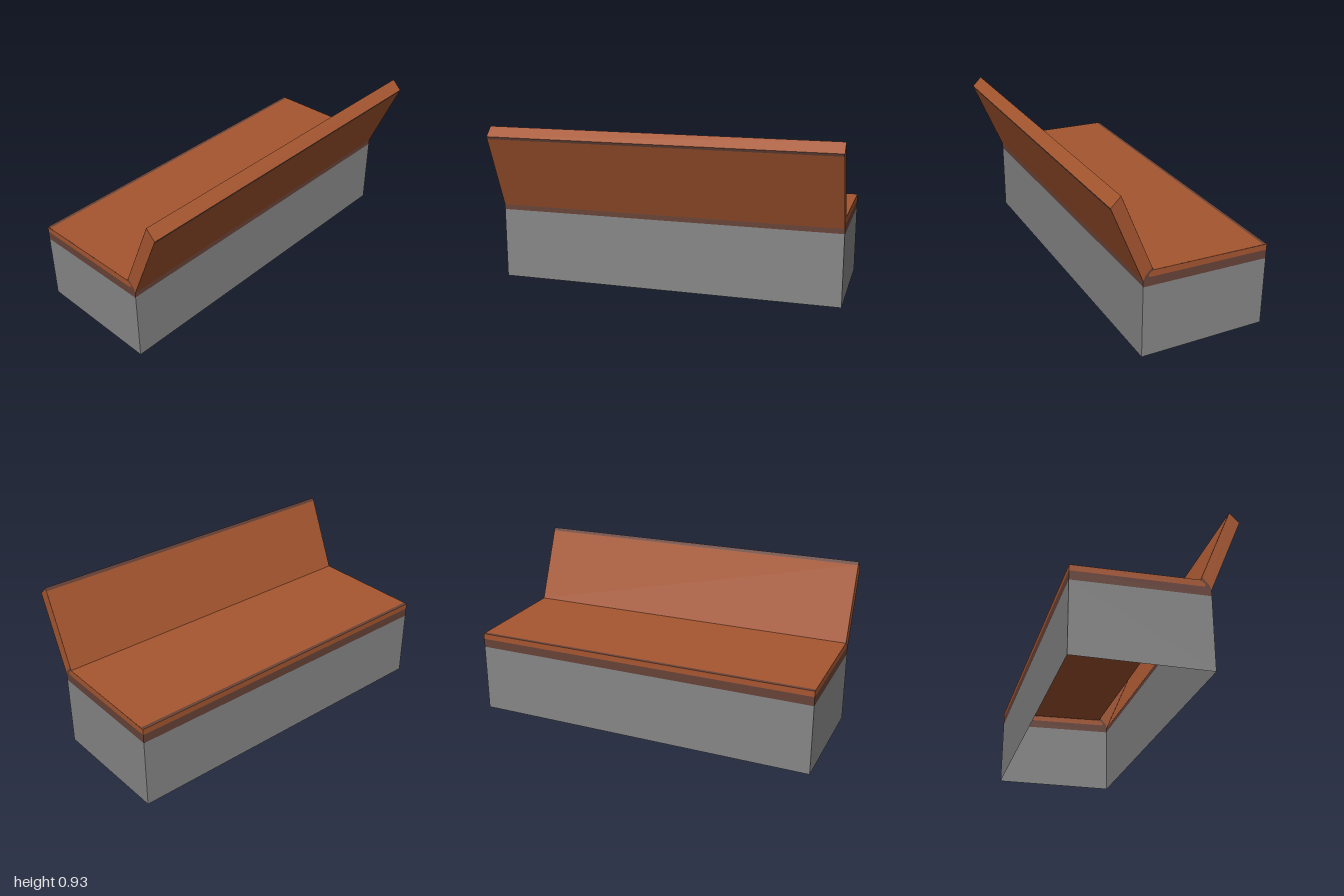
import * as THREE from 'three';

export function createModel() {
  const group = new THREE.Group();
  group.name = 'bench';
  const mat = (name, color) =>
    new THREE.MeshStandardMaterial({ name, color, side: THREE.DoubleSide });
  const grey = mat('concreteGrey', 0x878787);
  const brown = mat('woodBrown', 0xa65630);
  const dark = mat('trimDarkBrown', 0x684338);

  const add = (name, geometry, material) => {
    const mesh = new THREE.Mesh(geometry, material);
    mesh.name = name;
    group.add(mesh);
    return mesh;
  };

  // Full-length panel between two profile points [z, y]
  const panel = (name, [az, ay], [bz, by], material) => {
    const g = new THREE.BufferGeometry();
    g.setAttribute('position', new THREE.Float32BufferAttribute(
      [1, ay, az, -1, ay, az, -1, by, bz, 1, by, bz], 3));
    g.setIndex([0, 1, 2, 0, 2, 3]);
    g.computeVertexNormals();
    add(name, g, material);
  };

  // Matching flat end panels at both ends, outlined by [z, y] points
  const ends = (name, points, material) => {
    const shape = new THREE.Shape(points.map(([z, y]) => new THREE.Vector2(-z, y)));
    for (const side of [1, -1]) {
      const g = new THREE.ShapeGeometry(shape);
      if (side < 0) { // turn the far end outward
        const index = g.index.array;
        for (let i = 0; i < index.length; i += 3) {
          [index[i], index[i + 1]] = [index[i + 1], index[i]];
        }
        g.computeVertexNormals();
      }
      g.rotateY(Math.PI / 2);
      add(name + (side > 0 ? 'Left' : 'Right'), g, material).position.x = side;
    }
  };

  // Profile around the hollow shell, open underneath
  const profile = [
    ['baseSeatSide', [-0.45, 0], grey],
    ['seatLowerTrim', [-0.45, 0.395], dark],
    ['seatEdge', [-0.45, 0.445], brown],
    ['seatTopTrim', [-0.45, 0.478], dark],
    ['seat', [-0.43, 0.479], brown],
    ['backrestFace', [0.22, 0.495], brown],
    ['backrestFaceTrim', [0.392, 0.91], dark],
    ['backrestTop', [0.4, 0.928], brown],
    ['backrestRearTrim', [0.454, 0.875], dark],
    ['backrestRear', [0.448, 0.86], brown],
    ['baseRearTrim', [0.275, 0.443], dark],
    ['baseRear', [0.275, 0.414], grey],
    [null, [0.275, 0]],
  ];
  for (let i = 0; i < profile.length - 1; i++) {
    const [name, from, material] = profile[i];
    panel(name, from, profile[i + 1][1], material);
  }

  // End panels
  ends('baseEnd', [[-0.45, 0], [0.275, 0], [0.275, 0.41], [-0.45, 0.395]], grey);
  ends('trimEnd', [[-0.45, 0.395], [0.275, 0.41], [0.275, 0.443], [0.265, 0.47],
    [0.227, 0.512], [0.22, 0.495], [0.245, 0.475], [0.24, 0.459], [-0.45, 0.445]], dark);
  ends('seatEnd', [[-0.45, 0.445], [0.24, 0.459], [0.245, 0.475], [0.22, 0.495],
    [-0.45, 0.478]], brown);
  ends('backrestEnd', [[0.275, 0.443], [0.454, 0.875], [0.4, 0.928], [0.227, 0.512],
    [0.265, 0.47]], brown);

  return group;
}
